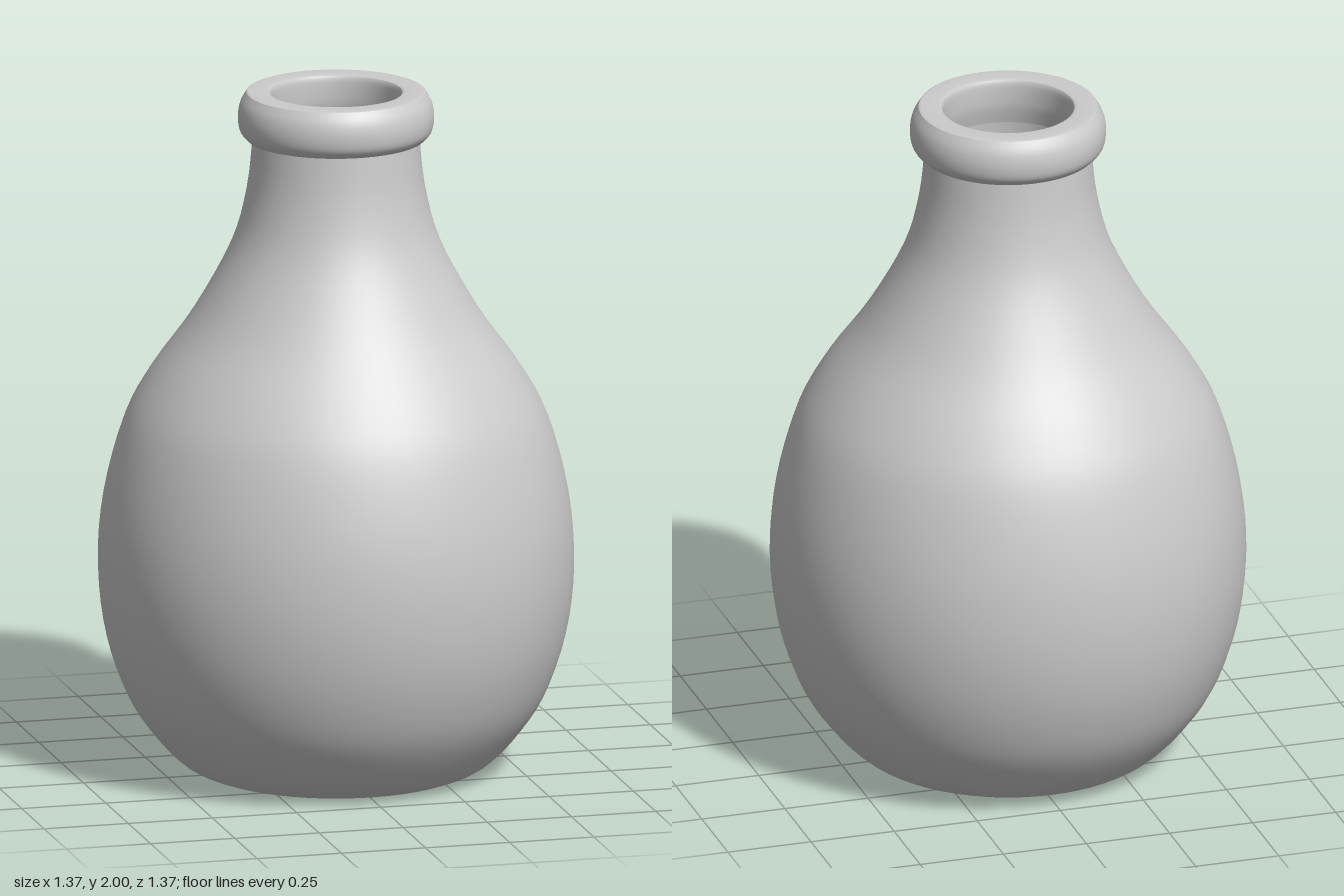
import * as THREE from 'three';

const SEGMENTS = 64;
const vectors = (pairs) => pairs.map(([r, y]) => new THREE.Vector2(r, y));
const smooth = (pairs, n) => new THREE.SplineCurve(vectors(pairs)).getPoints(n);

export function createModel() {
  const group = new THREE.Group();
  group.name = 'bottle';
  const material = new THREE.MeshStandardMaterial({ color: 0xcccccc, side: THREE.DoubleSide });

  const addLathe = (name, points) => {
    const mesh = new THREE.Mesh(new THREE.LatheGeometry(points, SEGMENTS), material);
    mesh.name = name;
    group.add(mesh);
  };

  // Flat base
  addLathe('base', vectors([[0, 0], [0.38, 0]]));

  // Bulbous body flowing into the neck
  addLathe('body', smooth([
    [0.38, 0], [0.445, 0.03], [0.52, 0.105], [0.6, 0.225], [0.66, 0.4], [0.684, 0.6],
    [0.668, 0.81], [0.61, 1.03], [0.53, 1.18], [0.41, 1.35], [0.302, 1.55],
    [0.257, 1.71], [0.24, 1.86],
  ], 48));

  // Rounded lip, flat on top, turning into the mouth
  addLathe('lipUnderside', vectors([[0.236, 1.86], [0.256, 1.861]]));
  addLathe('lip', smooth([
    [0.256, 1.861], [0.276, 1.885], [0.282, 1.925], [0.275, 1.965], [0.257, 1.997],
  ], 16));
  addLathe('rim', vectors([[0.257, 1.997], [0.25, 2], [0.2, 2], [0.191, 1.996]]));
  addLathe('mouth', smooth([
    [0.191, 1.996], [0.186, 1.98], [0.186, 1.93], [0.19, 1.9], [0.2, 1.86],
  ], 12));

  // Hollow inside, following the outer wall
  addLathe('innerWall', smooth([
    [0.2, 1.86], [0.217, 1.71], [0.262, 1.55], [0.372, 1.35], [0.492, 1.18],
    [0.57, 1.03], [0.628, 0.81], [0.644, 0.6], [0.62, 0.4], [0.562, 0.235],
    [0.49, 0.13], [0.42, 0.06], [0.36, 0.04],
  ], 48));
  addLathe('innerFloor', vectors([[0.36, 0.04], [0, 0.04]]));

  return group;
}
